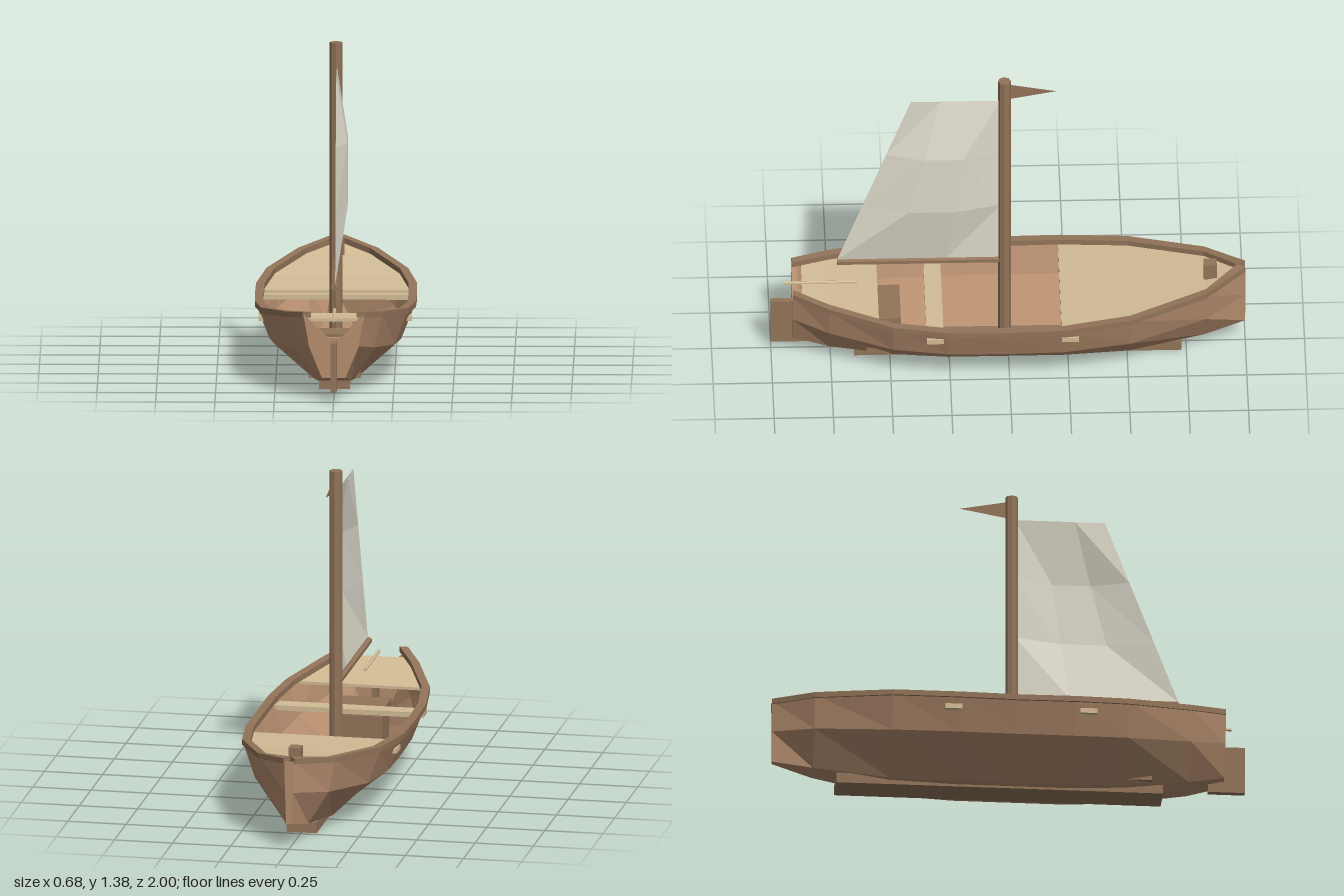
import * as THREE from 'three';

const mat = (name, color, side = THREE.FrontSide) => {
  const m = new THREE.MeshStandardMaterial({ color, side, flatShading: true });
  m.name = name;
  return m;
};

// Hull stations: z, half width at rim, rim height, half width of bottom, bottom height
const STATIONS = [
  [-1.0, 0.02, 0.385, 0.012, 0.11],
  [-0.83, 0.165, 0.355, 0.05, 0.07],
  [-0.51, 0.295, 0.32, 0.09, 0.02],
  [-0.23, 0.335, 0.302, 0.1, 0.01],
  [0.03, 0.338, 0.297, 0.1, 0.01],
  [0.26, 0.335, 0.3, 0.1, 0.01],
  [0.49, 0.305, 0.31, 0.09, 0.022],
  [0.76, 0.205, 0.338, 0.07, 0.055],
  [0.91, 0.127, 0.36, 0.05, 0.09],
];

// Interpolated [half width, rim height] at any z
function rimAt(z) {
  let i = 0;
  while (i < STATIONS.length - 2 && STATIONS[i + 1][0] < z) i++;
  const a = STATIONS[i], b = STATIONS[i + 1];
  const t = (z - a[0]) / (b[0] - a[0]);
  return [a[1] + (b[1] - a[1]) * t, a[2] + (b[2] - a[2]) * t];
}

// Skin a list of cross-sections (counterclockwise seen from +z, ordered toward +z)
function loft(sections, { closed = true, capStart = true, capEnd = true } = {}) {
  const pos = [];
  const tri = (a, b, c) => pos.push(...a, ...b, ...c);
  const n = sections[0].length;
  for (let j = 0; j < sections.length - 1; j++) {
    for (let i = 0; i < (closed ? n : n - 1); i++) {
      const k = (i + 1) % n;
      const a = sections[j][i], b = sections[j][k], c = sections[j + 1][k], d = sections[j + 1][i];
      tri(a, b, c);
      tri(a, c, d);
    }
  }
  const first = sections[0], last = sections[sections.length - 1];
  for (let i = 1; i < n - 1; i++) {
    if (capStart) tri(first[0], first[i + 1], first[i]);
    if (capEnd) tri(last[0], last[i], last[i + 1]);
  }
  const g = new THREE.BufferGeometry();
  g.setAttribute('position', new THREE.Float32BufferAttribute(pos, 3));
  g.computeVertexNormals();
  return g;
}

export function createModel() {
  const boat = new THREE.Group();
  boat.name = 'sailboat';
  const planks = mat('hullPlanks', 0xb58d6e, THREE.DoubleSide);
  const trim = mat('trimWood', 0x927459);
  const pale = mat('paleDeck', 0xd2bc96);
  const cloth = mat('sailCloth', 0xdedacb, THREE.DoubleSide);
  const pennantMat = mat('pennantCloth', 0x947359, THREE.DoubleSide);

  const add = (name, geometry, material, x = 0, y = 0, z = 0) => {
    const m = new THREE.Mesh(geometry, material);
    m.name = name;
    m.position.set(x, y, z);
    boat.add(m);
    return m;
  };
  // Box given by its extents
  const box = (name, material, [x0, x1], [y0, y1], [z0, z1]) =>
    add(name, new THREE.BoxGeometry(x1 - x0, y1 - y0, z1 - z0), material,
      (x0 + x1) / 2, (y0 + y1) / 2, (z0 + z1) / 2);

  // Hull shell with a chine halfway up
  const hullRings = STATIONS.map(([z, w, top, bw, bot]) => {
    const cw = w * 0.83, cy = (top + bot) / 2;
    return [[-w, top, z], [-cw, cy, z], [-bw, bot, z], [bw, bot, z], [cw, cy, z], [w, top, z]];
  });
  add('hull', loft(hullRings, { closed: false, capEnd: false }), planks);

  // Transom with a notch for the tiller
  const t = new THREE.Shape();
  [[-0.05, 0.09], [0.05, 0.09], [0.105, 0.225], [0.125, 0.36], [0.03, 0.26], [-0.03, 0.26],
    [-0.125, 0.36], [-0.105, 0.225]].forEach(([x, y], i) => (i ? t.lineTo(x, y) : t.moveTo(x, y)));
  add('transom', new THREE.ExtrudeGeometry(t, { depth: 0.025, bevelEnabled: false }), planks, 0, 0, 0.886);

  // Rim caps along both sides
  for (const s of [1, -1]) {
    const rings = STATIONS.map(([z, w, top]) => {
      const o = w + 0.004, i = Math.max(w - 0.032, 0);
      const zi = z === -1 ? -0.965 : z;
      const ring = [[i, top - 0.012, zi], [o, top - 0.012, z], [o, top + 0.012, z], [i, top + 0.012, zi]]
        .map(([x, y, zz]) => [x * s, y, zz]);
      return s > 0 ? ring : ring.reverse();
    });
    add(s > 0 ? 'leftRim' : 'rightRim', loft(rings), trim);
  }

  // Decks that follow the sheer
  const deck = (name, zs) => add(name, loft(zs.map((z) => {
    const [w, top] = rimAt(z);
    const x = Math.max(w - 0.02, 0.004), y = top - 0.018;
    return [[-x, y - 0.012, z], [x, y - 0.012, z], [x, y, z], [-x, y, z]];
  })), pale);
  deck('bowDeck', [-0.97, -0.83, -0.51, -0.22]);
  deck('sternDeck', [0.55, 0.76, 0.87]);

  // Thwarts, their ends just passing through the planking
  for (const z of [-0.255, 0.315]) {
    box('thwart', pale, [-0.323, 0.323], [0.243, 0.265], [z - 0.036, z + 0.036]);
  }

  box('keel', trim, [-0.065, 0.065], [0, 0.045], [-0.73, 0.65]);
  box('rudder', trim, [-0.013, 0.013], [0.04, 0.25], [0.845, 1]);
  box('bowPost', trim, [-0.026, 0.026], [0.3, 0.41], [-0.88, -0.825]);

  // Tiller
  const tiller = add('tiller', new THREE.CylinderGeometry(0.007, 0.007, 0.31, 6), pale, 0, 0.338, 0.79);
  tiller.rotation.x = Math.PI / 2;

  // Storage chest by the stern deck
  box('chestBody', trim, [-0.11, 0.11], [0.04, 0.185], [0.465, 0.6]);
  box('chestLid', trim, [-0.12, 0.12], [0.195, 0.23], [0.455, 0.61]);
  box('chestHinge', trim, [-0.1, 0.1], [0.185, 0.195], [0.475, 0.59]);

  // Mast and boom
  add('mast', new THREE.CylinderGeometry(0.027, 0.027, 1.34, 8), trim, 0, 0.71, 0.015);
  const boom = add('boom', new THREE.CylinderGeometry(0.015, 0.015, 0.7, 6), trim, 0, 0.445, 0.37);
  boom.rotation.x = Math.PI / 2;

  // Sail: a 3 by 3 grid of panels bellied toward the left
  const sailRows = [];
  for (let r = 0; r <= 3; r++) {
    const row = [];
    for (let c = 0; c <= 3; c++) {
      const v = r / 3, u = c / 3;
      const reach = 0.69 + (0.38 - 0.69) * v;
      row.push([0.004 + 0.064 * Math.sin(Math.PI * u) * Math.sin(Math.PI * v), 0.46 + 0.82 * v, 0.03 + reach * u]);
    }
    sailRows.push(row.reverse());
  }
  add('sail', loft(sailRows, { closed: false, capStart: false, capEnd: false }), cloth);

  // Pennant at the masthead
  const p = new THREE.Shape();
  p.moveTo(0, 1.285);
  p.lineTo(0.2, 1.322);
  p.lineTo(0, 1.36);
  p.closePath();
  const pennant = add('pennant', new THREE.ShapeGeometry(p), pennantMat, 0, 0, -0.005);
  pennant.rotation.y = Math.PI / 2;

  return boat;
}
